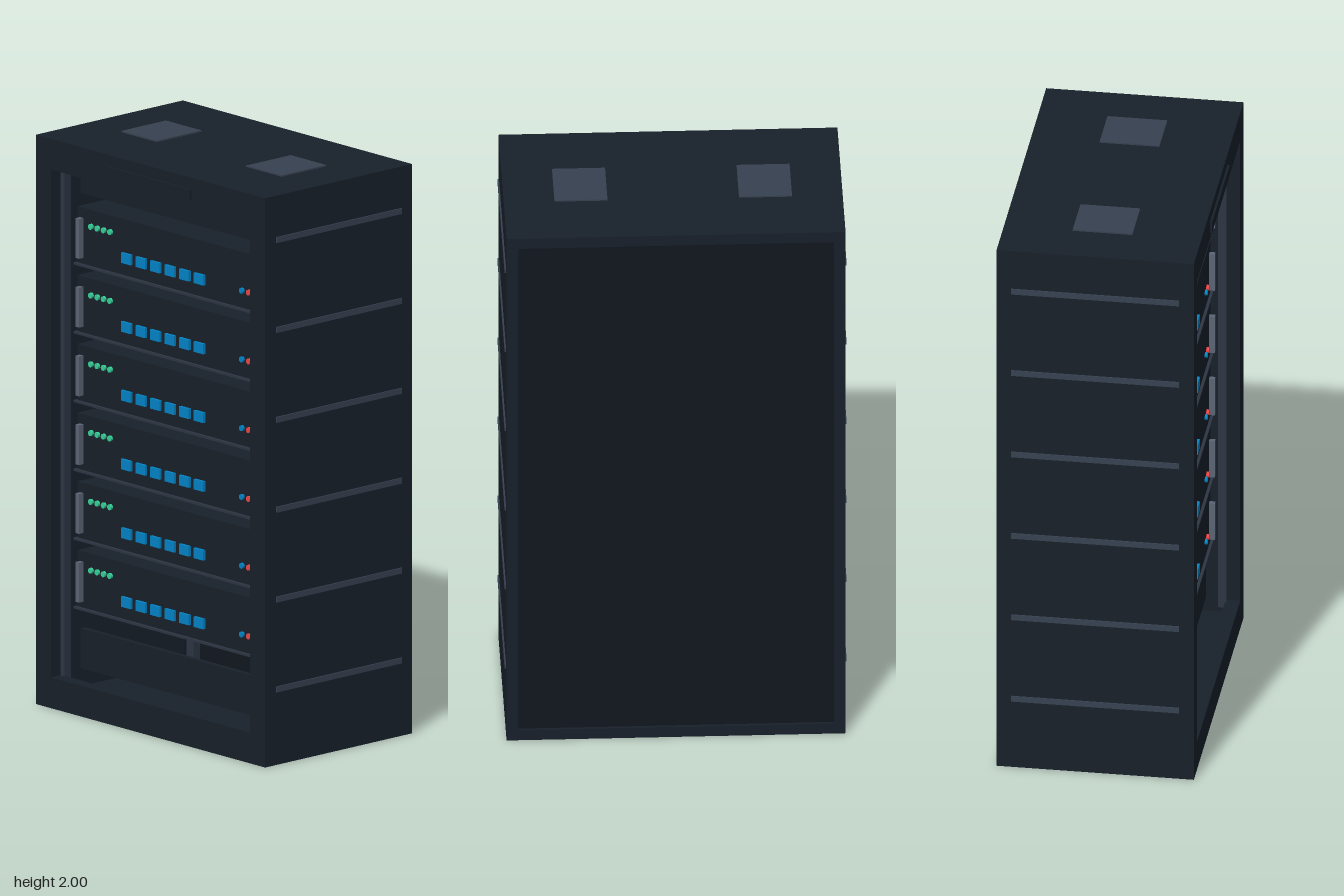
import * as THREE from 'three';

const paint = (color) => new THREE.MeshStandardMaterial({ color });
const M = {
  body: paint(0x18202a), inner: paint(0x11161f), unit: paint(0x18202a), grey: paint(0x374151),
  rail: paint(0x2d3644), handle: paint(0x5b6576), blue: paint(0x0284c7), red: paint(0xef4444), green: paint(0x34d399),
};

function box(parent, name, mat, w, h, d, x, y, z) {
  const m = new THREE.Mesh(new THREE.BoxGeometry(w, h, d), mat);
  m.name = name;
  m.position.set(x, y, z);
  parent.add(m);
  return m;
}

// Small round light or button facing the front
function dot(parent, name, mat, r, x, y, z) {
  const m = new THREE.Mesh(new THREE.CylinderGeometry(r, r, 0.01, 16), mat);
  m.name = name;
  m.rotation.x = Math.PI / 2;
  m.position.set(x, y, z);
  parent.add(m);
}

function rect(path, x, y) {
  path.moveTo(-x, -y);
  path.lineTo(x, -y);
  path.lineTo(x, y);
  path.lineTo(-x, y);
  path.closePath();
  return path;
}

// One rack unit, local y = 0 at its middle
function createServer() {
  const g = new THREE.Group();
  const face = 0.235;
  box(g, 'serverCase', M.unit, 0.95, 0.2, 0.45, 0, 0, face - 0.225);
  box(g, 'serverTray', M.rail, 0.965, 0.008, 0.47, 0, -0.1, face - 0.225);
  for (const s of [-1, 1]) box(g, 'serverHandle', M.handle, 0.017, 0.14, 0.02, s * 0.453, -0.005, face + 0.01);
  for (let i = 0; i < 4; i++) dot(g, 'statusLight', M.green, 0.01, -0.402 + i * 0.032, 0.043, face + 0.004);
  for (let i = 0; i < 6; i++) box(g, 'port', M.blue, 0.048, 0.036, 0.012, -0.222 + i * 0.073, -0.034, face + 0.004);
  dot(g, 'blueButton', M.blue, 0.01, 0.355, -0.034, face + 0.004);
  dot(g, 'redButton', M.red, 0.01, 0.39, -0.034, face + 0.004);
  return g;
}

export function createModel() {
  const root = new THREE.Group();
  root.name = 'serverRack';
  const H = 1.995, zc = -0.004, depth = 0.676, front = zc + depth / 2;

  // Cabinet shell
  const shell = new THREE.Group();
  shell.name = 'cabinet';
  root.add(shell);
  for (const s of [-1, 1]) box(shell, 'sidePanel', M.body, 0.04, H, depth - 0.05, s * 0.555, H / 2, zc - 0.025);
  box(shell, 'roof', M.body, 1.07, 0.04, depth - 0.05, 0, H - 0.02, zc - 0.025);
  box(shell, 'floor', M.body, 1.07, 0.04, depth - 0.05, 0, 0.02, zc - 0.025);
  box(shell, 'backPanel', M.inner, 1.07, H - 0.08, 0.02, 0, H / 2, zc - depth / 2 + 0.02);

  // Front frame with its opening
  const outline = rect(new THREE.Shape(), 0.575, H / 2);
  outline.holes.push(rect(new THREE.Path(), 0.5, 0.89));
  const frame = new THREE.Mesh(new THREE.ExtrudeGeometry(outline, { depth: 0.05, bevelEnabled: false }), M.body);
  frame.name = 'frontFrame';
  frame.position.set(0, H / 2, front - 0.05);
  shell.add(frame);
  box(shell, 'headerPlate', M.body, 0.41, 0.04, 0.012, 0, 1.935, front + 0.002);

  // Roof vents and side grooves
  for (const s of [-1, 1]) {
    box(root, 'roofVent', M.grey, 0.18, 0.01, 0.205, s * 0.313, 1.995, zc);
    for (let i = 0; i < 6; i++) box(root, 'sideStrip', M.grey, 0.01, 0.02, 0.575, s * 0.575, 0.265 + i * 0.315, zc);
  }

  // Mounting rails, front and rear
  for (const s of [-1, 1]) {
    box(root, 'frontRail', M.rail, 0.02, 1.82, 0.03, s * 0.49, H / 2, 0.275);
    box(root, 'rearPost', M.rail, 0.035, 1.9, 0.03, s * 0.445, H / 2, -0.27);
  }

  // Servers
  for (let i = 0; i < 6; i++) {
    const server = createServer();
    server.name = 'server' + (i + 1);
    server.position.y = 1.646 - i * 0.241;
    root.add(server);
  }

  // Blanking panels above and below the servers
  box(root, 'upperBlank', M.unit, 0.95, 0.08, 0.02, 0, 1.83, 0.21);
  box(root, 'lowerBlank', M.unit, 0.95, 0.14, 0.02, 0, 0.195, 0.21);

  // Cables behind the servers
  box(root, 'blueCable', M.blue, 0.022, 1.54, 0.022, 0.355, 1.02, -0.25);
  box(root, 'redCable', M.red, 0.022, 1.54, 0.022, 0.39, 1.02, -0.25);

  return root;
}
